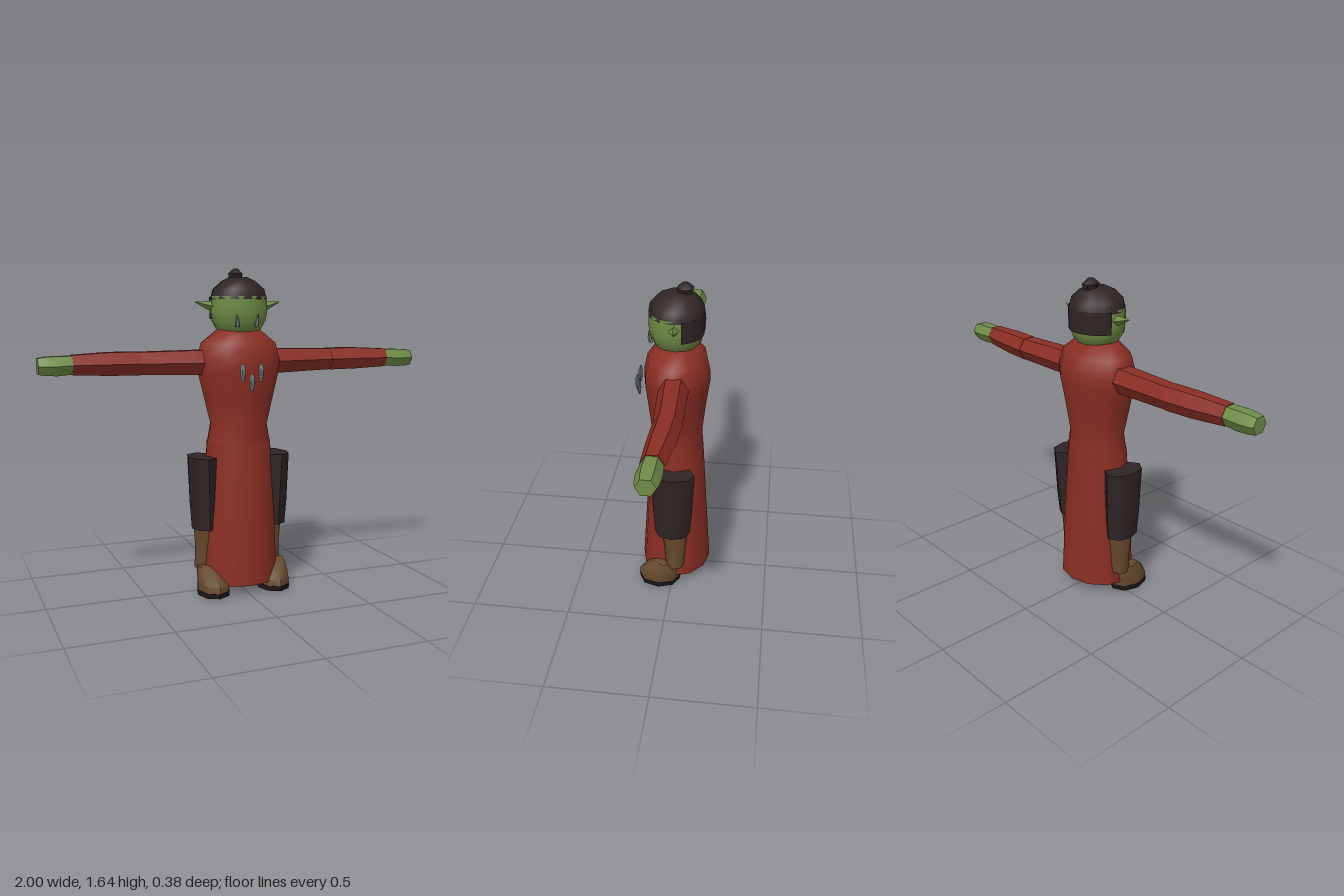
import * as THREE from 'three';
import { toCreasedNormals } from 'three/addons/utils/BufferGeometryUtils.js';

const mat = (name, color, side = THREE.FrontSide) => {
  const m = new THREE.MeshStandardMaterial({ color, side });
  m.name = name;
  return m;
};

// Skin over elliptical rings [y, centreX, centreZ, radiusX, radiusZ], bottom to top
function loft(rings, sides, { phase = 0, crease = 0.9, capBottom = true, capTop = true } = {}) {
  const pos = [], index = [];
  for (const [y, cx, cz, rx, rz] of rings) {
    for (let i = 0; i < sides; i++) {
      const a = phase + (i / sides) * Math.PI * 2;
      pos.push(cx + Math.cos(a) * rx, y, cz + Math.sin(a) * rz);
    }
  }
  for (let r = 0; r < rings.length - 1; r++) {
    for (let i = 0; i < sides; i++) {
      const a = r * sides + i, b = r * sides + ((i + 1) % sides);
      index.push(a, a + sides, b, b, a + sides, b + sides);
    }
  }
  const cap = (r, top) => {
    const c = pos.length / 3;
    pos.push(rings[r][1], rings[r][0], rings[r][2]);
    for (let i = 0; i < sides; i++) {
      const a = r * sides + i, b = r * sides + ((i + 1) % sides);
      if (top) index.push(c, b, a);
      else index.push(c, a, b);
    }
  };
  if (capBottom) cap(0, false);
  if (capTop) cap(rings.length - 1, true);
  const g = new THREE.BufferGeometry();
  g.setAttribute('position', new THREE.Float32BufferAttribute(pos, 3));
  g.setIndex(index);
  return toCreasedNormals(g, crease);
}

export function createModel() {
  const red = mat('robe red', 0x8a2e24, THREE.DoubleSide);
  const green = mat('skin green', 0x6f8b46);
  const dark = mat('dark cloth', 0x2f2424, THREE.DoubleSide);
  const brown = mat('boot leather', 0x664a2f);
  const black = mat('sole black', 0x1d1817);
  const grey = mat('claw grey', 0x6c7474);

  const model = new THREE.Group();
  model.name = 'robedFigure';
  const add = (name, geometry, material, parent = model) => {
    const m = new THREE.Mesh(geometry, material);
    m.name = name;
    parent.add(m);
    return m;
  };

  // Robe: bodice and flared open skirt
  add('robeTop', loft([
    [0.76, 0, -0.005, 0.17, 0.137],
    [0.86, 0, -0.005, 0.15, 0.13],
    [1.0, 0, -0.005, 0.185, 0.145],
    [1.14, 0, -0.007, 0.22, 0.163],
    [1.19, 0, -0.007, 0.222, 0.163],
    [1.27, 0, -0.007, 0.2, 0.145],
    [1.335, 0, -0.005, 0.115, 0.09],
  ], 12, { capBottom: false }), red);
  add('robeSkirt', loft([
    [0.05, 0, -0.005, 0.205, 0.182],
    [0.4, 0, -0.005, 0.195, 0.16],
    [0.775, 0, -0.005, 0.17, 0.137],
  ], 12, { capBottom: false, capTop: false }), red);

  // Head, cap, topknot and hair at the nape
  add('head', loft([
    [1.32, 0, -0.005, 0.1, 0.09],
    [1.34, 0, -0.005, 0.115, 0.11],
    [1.38, 0, -0.003, 0.138, 0.125],
    [1.43, 0, 0, 0.147, 0.13],
    [1.5, 0, 0, 0.142, 0.128],
  ], 14), green);
  add('cap', loft([
    [1.485, 0, -0.005, 0.146, 0.137],
    [1.535, 0, -0.005, 0.132, 0.128],
    [1.575, 0, -0.007, 0.085, 0.092],
    [1.595, 0, -0.01, 0.045, 0.05],
  ], 12), dark);
  add('topknot', loft([
    [1.58, 0, -0.045, 0.03, 0.034],
    [1.612, 0, -0.045, 0.04, 0.045],
    [1.637, 0, -0.045, 0.014, 0.016],
  ], 6), dark);
  const nape = new THREE.CylinderGeometry(1, 0.98, 0.11, 10, 1, true,
    THREE.MathUtils.degToRad(107), THREE.MathUtils.degToRad(146));
  nape.scale(0.15, 1, 0.14).translate(0, 1.442, 0);
  add('napeHair', nape, dark);

  // Claws hanging at the chest
  for (const [x, y] of [[-0.048, 1.13], [0, 1.082], [0.048, 1.13]]) {
    add('chestClaw', loft([
      [y - 0.042, x, 0.182, 0.006, 0.004],
      [y - 0.015, x, 0.184, 0.013, 0.01],
      [y + 0.022, x, 0.184, 0.014, 0.01],
      [y + 0.042, x, 0.182, 0.007, 0.005],
    ], 6), grey);
  }

  for (const s of [1, -1]) {
    const side = s > 0 ? 'left' : 'right';

    // Ear: four-sided spike; sideways parts are lofted upright, then turned
    const lay = (rings, sides, opts) =>
      loft(rings.map(([x, y, z, ry, rz]) => [x, -s * y, z, ry, rz]), sides, opts).rotateZ(-s * Math.PI / 2);
    const sideways = (rings, sides, opts) => {
      const g = lay(rings, sides, opts);
      return g;
    };
    add(side + 'Ear', sideways([
      [0.125, 1.45, -0.008, 0.027, 0.026],
      [0.16, 1.455, -0.008, 0.022, 0.02],
      [0.226, 1.472, -0.01, 0.002, 0.002],
    ], 4, { crease: 0.3 }), green);

    // Tusk
    add(side + 'Tusk', loft([
      [1.352, s * 0.05, 0.113, 0.012, 0.012],
      [1.375, s * 0.052, 0.119, 0.01, 0.01],
      [1.412, s * 0.056, 0.121, 0.002, 0.002],
    ], 5), grey);

    // Sleeve in two sections and the hand, all six-sided
    const hex = { phase: Math.PI / 2, crease: 0.5 };
    add(side + 'UpperSleeve', sideways([
      [0.15, 1.175, -0.013, 0.071, 0.072],
      [0.24, 1.175, -0.014, 0.07, 0.072],
      [0.515, 1.177, -0.027, 0.063, 0.066],
    ], 6, hex), red);
    add(side + 'LowerSleeve', sideways([
      [0.515, 1.177, -0.027, 0.065, 0.068],
      [0.66, 1.178, -0.021, 0.064, 0.066],
      [0.84, 1.178, -0.008, 0.054, 0.053],
    ], 6, hex), red);
    add(side + 'Hand', sideways([
      [0.83, 1.178, -0.008, 0.049, 0.05],
      [0.91, 1.175, -0.006, 0.053, 0.056],
      [0.97, 1.175, -0.006, 0.05, 0.052],
      [1.0, 1.175, -0.006, 0.043, 0.044],
    ], 6, hex), green);

    // Trouser leg, boot shaft, foot and sole
    add(side + 'Trouser', loft([
      [0.33, s * 0.186, -0.005, 0.068, 0.09],
      [0.45, s * 0.19, -0.006, 0.073, 0.1],
      [0.7, s * 0.198, -0.007, 0.073, 0.112],
    ], 8), dark);
    add(side + 'BootShaft', loft([
      [0.12, s * 0.188, -0.017, 0.05, 0.048],
      [0.23, s * 0.182, -0.017, 0.051, 0.056],
      [0.34, s * 0.185, -0.015, 0.056, 0.068],
    ], 8), brown);
    add(side + 'Foot', loft([
      [0.025, s * 0.165, 0.066, 0.082, 0.109],
      [0.06, s * 0.165, 0.065, 0.082, 0.107],
      [0.105, s * 0.182, 0.046, 0.064, 0.084],
      [0.14, s * 0.195, 0.034, 0.042, 0.054],
    ], 8), brown);
    add(side + 'Sole', loft([
      [0, s * 0.165, 0.066, 0.083, 0.107],
      [0.026, s * 0.165, 0.066, 0.085, 0.111],
    ], 8), black);
  }
  return model;
}
